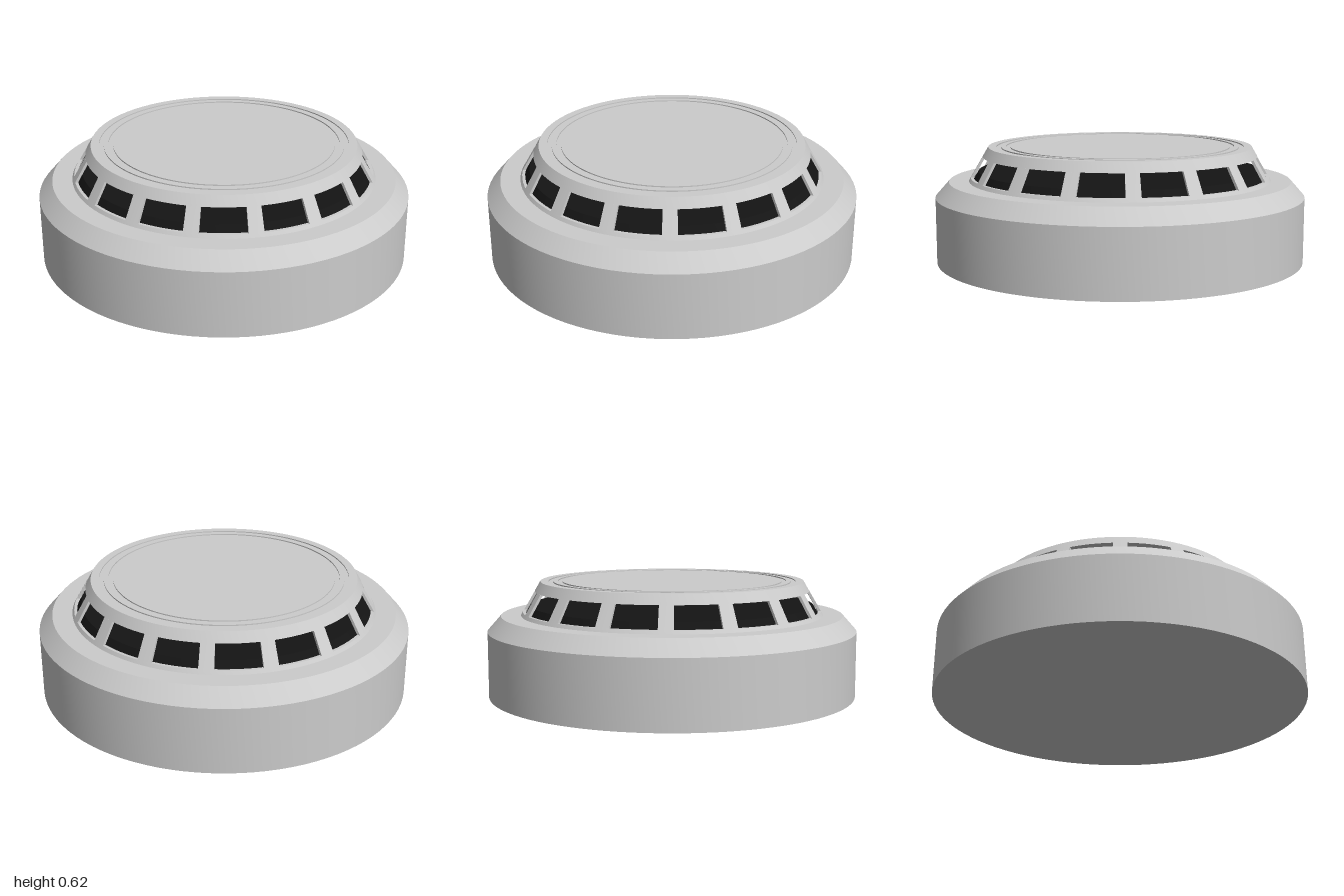
import * as THREE from 'three';
import { toCreasedNormals } from 'three/addons/utils/BufferGeometryUtils.js';

const SEGMENTS = 96;
const SLOTS = 16;
const BOTTOM = 0.435, SILL = 0.453, HEAD = 0.565, TOP = 0.617;
const WALL = 0.016;

// Outer radius of the sloping vent wall at height y
const wallRadius = (y) => THREE.MathUtils.mapLinear(y, BOTTOM, TOP, 0.82, 0.714);

export function createModel() {
  const model = new THREE.Group();
  const grey = new THREE.MeshStandardMaterial({ color: 0xcccccc });
  const black = new THREE.MeshStandardMaterial({ color: 0x151515 });

  const add = (name, geometry, material = grey) => {
    const mesh = new THREE.Mesh(toCreasedNormals(geometry, 0.5), material);
    mesh.name = name;
    model.add(mesh);
    return mesh;
  };
  // Profiles run anticlockwise in (radius, height)
  const turn = (profile) =>
    new THREE.LatheGeometry(profile.map(([r, y]) => new THREE.Vector2(r, y)), SEGMENTS);

  // Chamfered base
  add('base', turn([[0, 0], [1, 0], [1, 0.353], [0.927, BOTTOM], [0, BOTTOM]]));

  // Dark chamber floor seen through the slots
  add('innerChamber', turn([[0.798, BOTTOM], [0.768, 0.487], [0, 0.487]]), black);

  // Low ring under the slots
  add('ventSill', turn([
    [wallRadius(BOTTOM), BOTTOM], [wallRadius(SILL), SILL],
    [wallRadius(SILL) - WALL, SILL], [wallRadius(BOTTOM) - WALL, BOTTOM],
  ]));

  // Sloping bars between the slots: a box bent round the axis
  const slotAngle = THREE.MathUtils.degToRad(17);
  const pitch = (2 * Math.PI) / SLOTS;
  const bars = new THREE.Group();
  bars.name = 'ventBars';
  model.add(bars);
  for (let i = 0; i < SLOTS; i++) {
    const bar = new THREE.BoxGeometry(1, 1, 1, 3, 1, 1);
    const p = bar.attributes.position;
    for (let v = 0; v < p.count; v++) {
      const angle = i * pitch + THREE.MathUtils.lerp(slotAngle, pitch, p.getX(v) + 0.5);
      const y = THREE.MathUtils.lerp(SILL, HEAD, p.getY(v) + 0.5);
      const r = wallRadius(y) - (p.getZ(v) < 0 ? WALL : 0);
      p.setXYZ(v, Math.sin(angle) * r, y, Math.cos(angle) * r);
    }
    bars.add(add('ventBar', bar));
  }

  // Cap with two shallow ring grooves in its top
  const groove = TOP - 0.006;
  add('cap', turn([
    [0, HEAD], [wallRadius(HEAD), HEAD], [wallRadius(TOP), TOP],
    [0.67, TOP], [0.67, groove], [0.645, groove], [0.645, TOP],
    [0.62, TOP], [0.62, groove], [0.595, groove], [0.595, TOP],
    [0, TOP],
  ]));

  return model;
}
